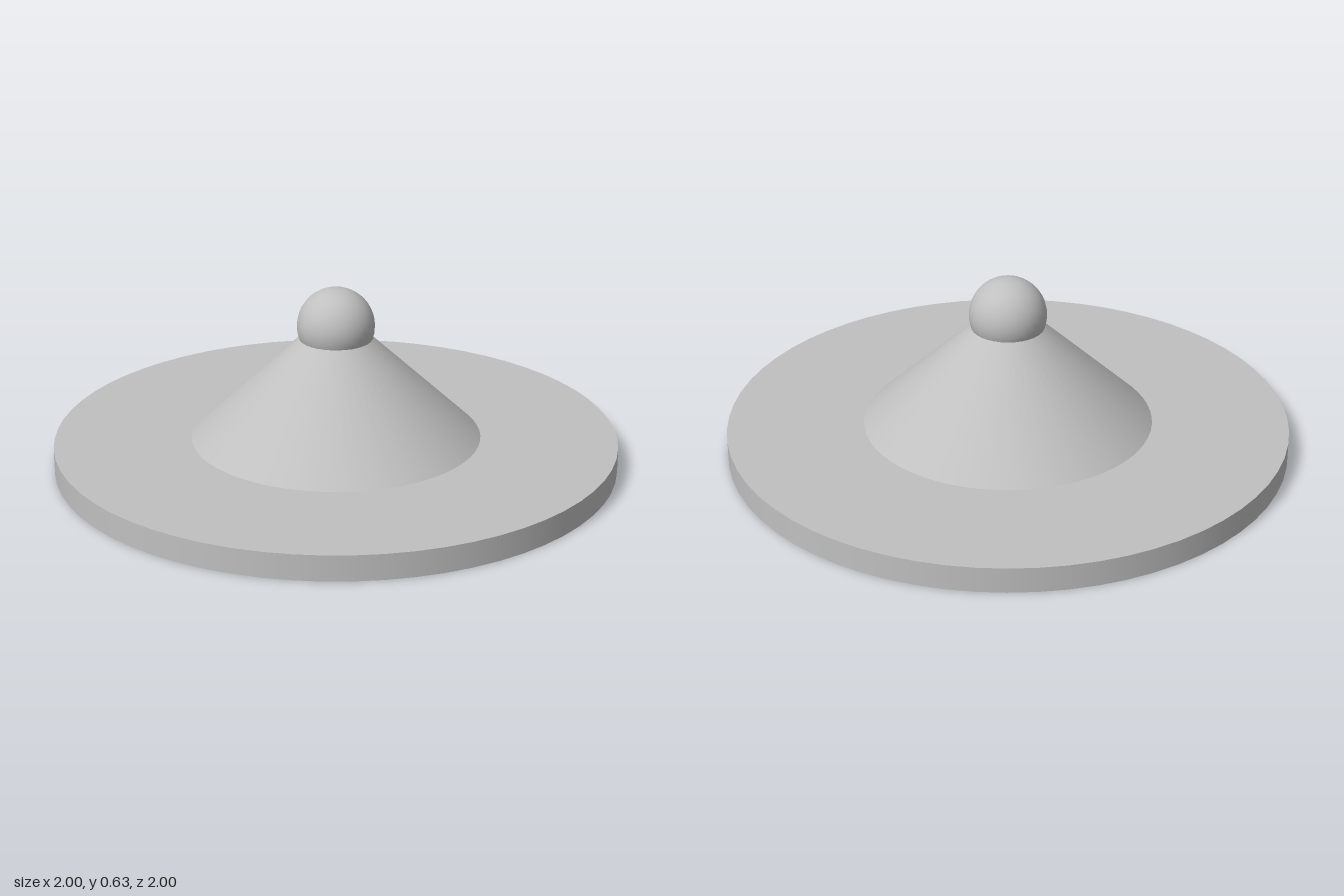
import * as THREE from 'three';

export function createModel() {
  const model = new THREE.Group();
  const grey = new THREE.MeshStandardMaterial({ color: 0xc0c0c0 });
  grey.name = 'plain grey';

  const add = (name, geometry, y) => {
    const mesh = new THREE.Mesh(geometry, grey);
    mesh.name = name;
    mesh.position.y = y;
    model.add(mesh);
  };

  const baseHeight = 0.09, coneTop = 0.5;

  // Flat round base
  add('baseDisc', new THREE.CylinderGeometry(1, 1, baseHeight, 64), baseHeight / 2);

  // Tapered body, its narrow end hidden inside the knob
  const coneHeight = coneTop - baseHeight;
  add('cone', new THREE.CylinderGeometry(0.077, 0.515, coneHeight, 64, 1, true), baseHeight + coneHeight / 2);

  // Ball on top
  add('knob', new THREE.SphereGeometry(0.137, 32, 20), 0.498);

  return model;
}
